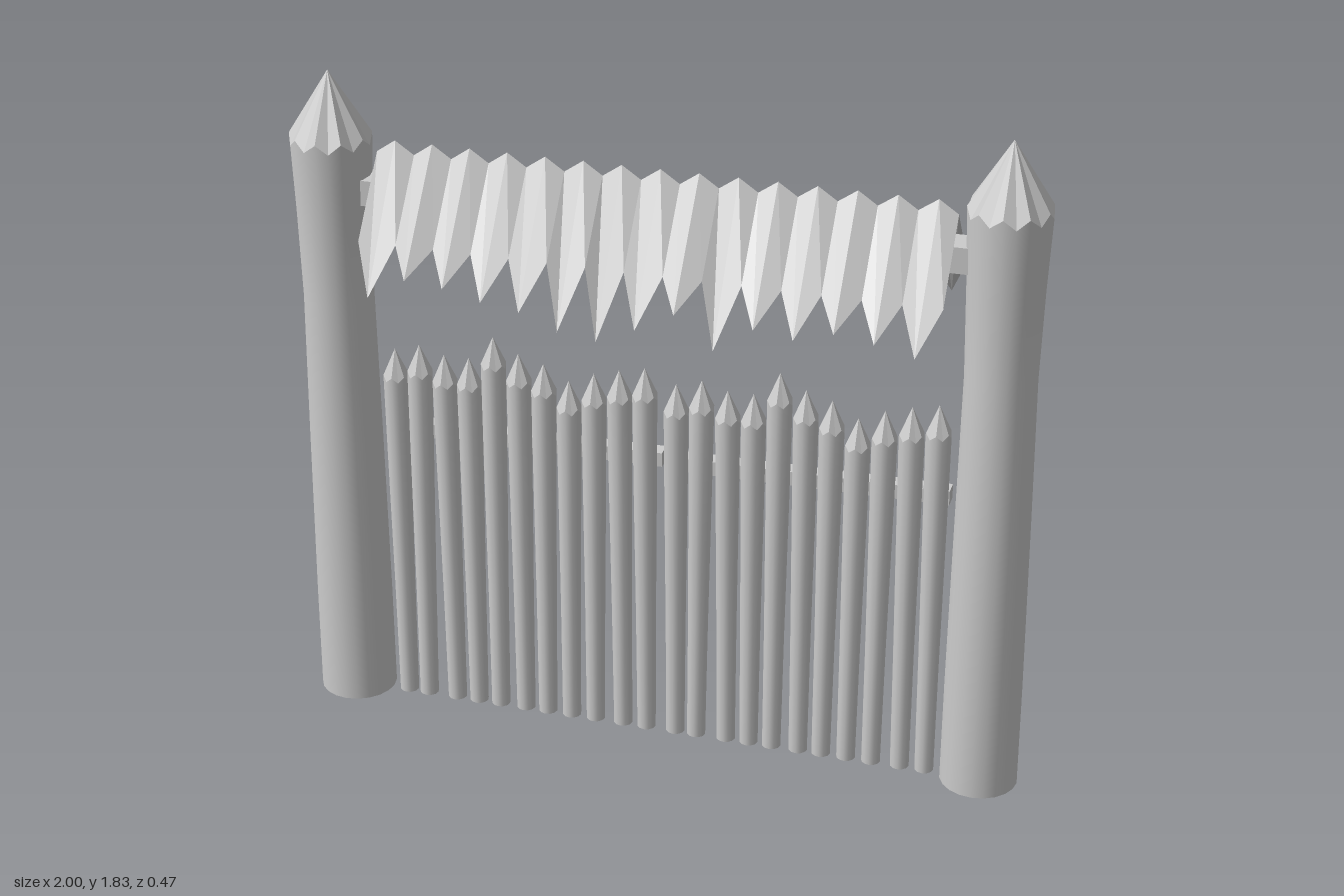
import * as THREE from 'three';

const smooth = new THREE.MeshStandardMaterial({ color: 0xcccccc });
const flat = new THREE.MeshStandardMaterial({ color: 0xcccccc, flatShading: true });
const flatDouble = new THREE.MeshStandardMaterial({ color: 0xcccccc, flatShading: true, side: THREE.DoubleSide });

function add(parent, name, geometry, material) {
  const mesh = new THREE.Mesh(geometry, material);
  mesh.name = name;
  parent.add(mesh);
  return mesh;
}

// Round log with a faceted, pencil-sharpened tip.
// profile: [radius, y] pairs, bottom to shoulder; drop: how far each facet dips below the shoulder
function sharpenedLog(name, profile, tipY, facets, drop) {
  const group = new THREE.Group();
  group.name = name;
  const segments = facets * 2;
  const [topR, topY] = profile[profile.length - 1];
  const rimY = (x, z) => {
    const i = Math.round(Math.atan2(x, z) / (Math.PI * 2) * segments);
    return topY - (i % 2 !== 0 ? drop : 0);
  };

  // The base point is doubled to keep a sharp edge round the bottom cap
  const points = [[0, 0], profile[0], ...profile].map(([r, y]) => new THREE.Vector2(r, y));
  const body = new THREE.LatheGeometry(points, segments);
  const tip = new THREE.ConeGeometry(topR, tipY - topY, segments, 1, true);
  tip.translate(0, (tipY + topY) / 2, 0);
  for (const geometry of [body, tip]) {
    const p = geometry.attributes.position;
    for (let i = 0; i < p.count; i++) {
      if (Math.abs(p.getY(i) - topY) < 1e-4) p.setY(i, rimY(p.getX(i), p.getZ(i)));
    }
  }
  add(group, name + 'Shaft', body, smooth);
  add(group, name + 'Tip', tip, flat);
  return group;
}

// One slope of the roof: planks creased along the middle and pointed at both ends
function roofSlope(tips) {
  const width = 0.102, start = -width * tips.length / 2;
  const verts = [];
  tips.forEach((tipY, i) => {
    const x0 = start + i * width, xm = x0 + width / 2, x1 = x0 + width;
    const leftTop = [x0, 1.62, 0], midTop = [xm, 1.655, 0], rightTop = [x1, 1.62, 0];
    const leftLow = [x0, 1.43, 0.155], midLow = [xm, tipY, 0.235], rightLow = [x1, 1.43, 0.155];
    verts.push(leftTop, leftLow, midLow, leftTop, midLow, midTop);
    verts.push(midTop, midLow, rightLow, midTop, rightLow, rightTop);
  });
  const geometry = new THREE.BufferGeometry();
  geometry.setAttribute('position', new THREE.Float32BufferAttribute(verts.flat(), 3));
  geometry.computeVertexNormals();
  return geometry;
}

export function createModel() {
  const model = new THREE.Group();
  model.name = 'palisadeGate';

  // Gate posts, slightly waisted
  const postProfile = [[0.105, 0], [0.104, 0.3], [0.099, 0.8], [0.094, 1.2], [0.1, 1.45], [0.108, 1.66]];
  for (const side of [-1, 1]) {
    const post = sharpenedLog(side > 0 ? 'leftPost' : 'rightPost', postProfile, 1.83, 10, 0.025);
    post.position.x = 0.892 * side;
    model.add(post);
  }

  // Two gate leaves with the same eleven pickets: tip height and foot offset
  const pickets = [
    [1.06, 0], [1.08, -0.01], [1.06, 0.005], [1.06, 0], [1.13, -0.005], [1.09, 0],
    [1.07, -0.005], [1.03, -0.005], [1.06, -0.005], [1.08, 0.005], [1.095, 0.003],
  ];
  [-0.74, 0.043].forEach((startX, leaf) => {
    const group = new THREE.Group();
    group.name = leaf ? 'leftGate' : 'rightGate';
    pickets.forEach(([top, lean], i) => {
      const shoulder = top - 0.075;
      const profile = [[0.026, 0], [0.028, 0.35], [0.032, 0.75], [0.034, shoulder]];
      const picket = sharpenedLog('picket', profile, top, 6, 0.014);
      picket.position.set(startX + i * 0.0697 + lean, 0, 0);
      picket.rotation.z = lean / top;
      group.add(picket);
    });
    // Cross rail on the back of the leaf
    const rail = add(group, 'rail', new THREE.BoxGeometry(0.765, 0.04, 0.045), flat);
    rail.position.set(leaf ? 0.388 : -0.388, 0.81, -0.055);
    rail.rotation.z = 0.01;
    model.add(group);
  });

  // Beam joining the posts under the roof
  add(model, 'roofBeam', new THREE.BoxGeometry(1.61, 0.07, 0.085), flat).position.y = 1.515;

  // Both roof slopes share one set of planks, the back turned half round
  const tips = [1.31, 1.37, 1.36, 1.335, 1.32, 1.28, 1.265, 1.31, 1.365, 1.28, 1.35, 1.335, 1.365, 1.35, 1.325];
  const slope = roofSlope(tips);
  add(model, 'frontRoof', slope, flatDouble);
  add(model, 'backRoof', slope, flatDouble).rotation.y = Math.PI;

  return model;
}
